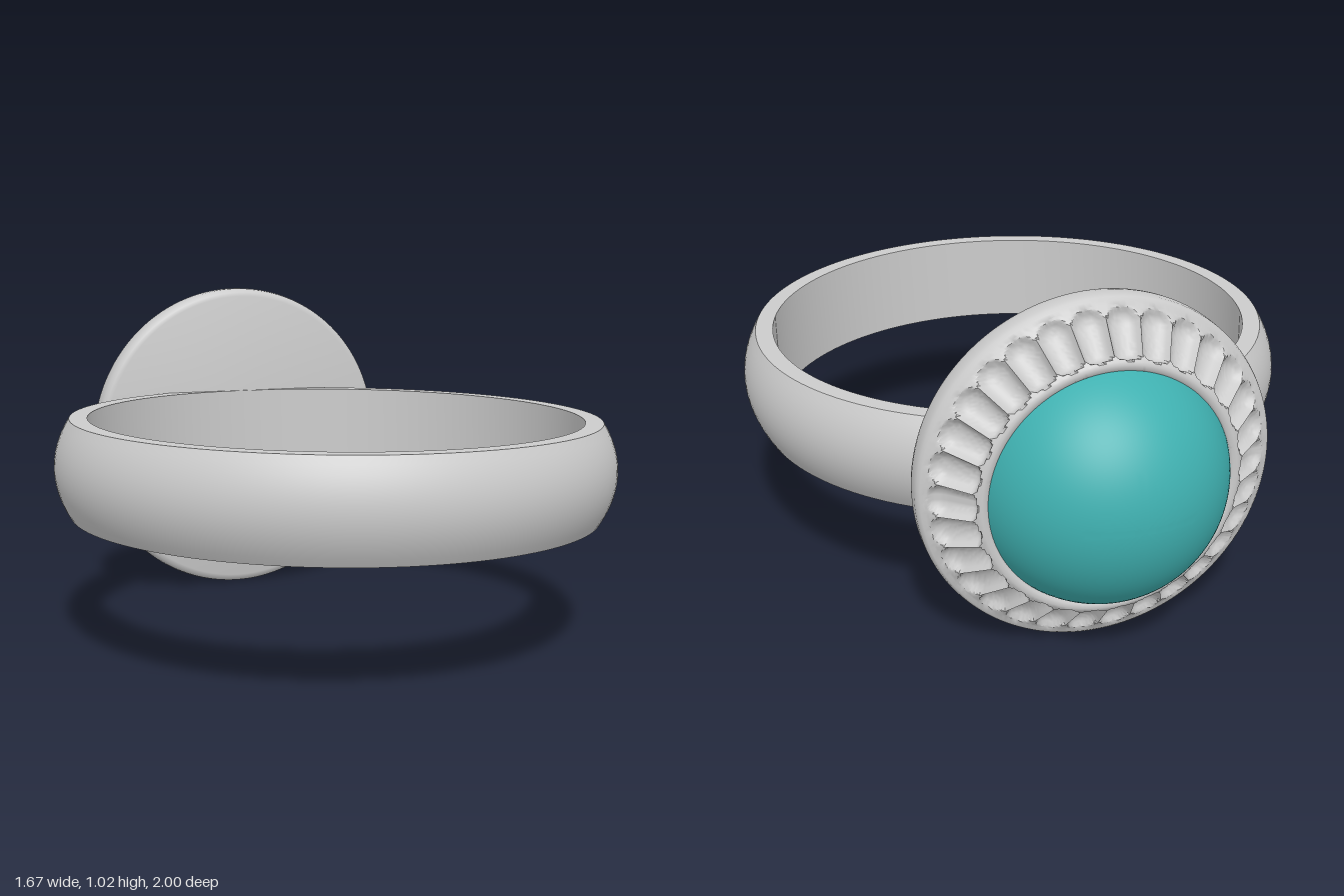
import * as THREE from 'three';
import { toCreasedNormals } from 'three/addons/utils/BufferGeometryUtils.js';

const FLUTES = 30;

function lathe(points, segments) {
  return new THREE.LatheGeometry(points.map(([r, y]) => new THREE.Vector2(r, y)), segments);
}

function part(name, geometry, color, crease = 0.6) {
  const mesh = new THREE.Mesh(
    toCreasedNormals(geometry, crease),
    new THREE.MeshStandardMaterial({ color })
  );
  mesh.name = name;
  return mesh;
}

// Band: flat inside and sides, bowed outside
function makeBand() {
  const half = 0.142, steps = 12;
  const profile = [[0.735, -half]];
  for (let i = 0; i <= steps; i++) {
    const k = (i / steps) * 2 - 1;
    profile.push([0.833 - 0.045 * k * k, half * k]);
  }
  profile.push([0.735, half], [0.735, -half]);
  const band = part('band', lathe(profile, 128), 0xcccccc);
  band.position.set(0, 0.533, 0.165);
  band.rotation.z = -0.009;
  return band;
}

// Bezel: round plate with a sloping collar carved by scooped flutes
function makeBezel() {
  const outer = [0.488, 0.085], inner = [0.368, 0.188], rows = 22;
  const profile = [
    [0, 0], [0.485, 0], [0.498, 0.004], [0.507, 0.014], [0.51, 0.03],
    [0.51, 0.062], [0.506, 0.075], [0.499, 0.082]
  ];
  const firstRow = profile.length;
  for (let i = 0; i <= rows; i++) {
    const t = i / rows;
    profile.push([
      THREE.MathUtils.lerp(outer[0], inner[0], t),
      THREE.MathUtils.lerp(outer[1], inner[1], t)
    ]);
  }
  profile.push([0.36, 0.191], [0.348, 0.19], [0.338, 0.18], [0.335, 0.15], [0, 0.15]);

  const segments = FLUTES * 12;
  const geometry = lathe(profile, segments);
  const pos = geometry.attributes.position;
  const slope = new THREE.Vector2(outer[0] - inner[0], inner[1] - outer[1]).normalize();
  for (let seg = 0; seg <= segments; seg++) {
    const angle = (seg / segments) * Math.PI * 2;
    const s = (((seg % 12) / 12) * 2 - 1) / 0.94;
    for (let i = 0; i <= rows; i++) {
      // round outer end, straight sides, quick rise to the inner lip
      const t = i / rows;
      const e = t < 0.34 ? (0.34 - t) / 0.3 : t > 0.84 ? (t - 0.84) / 0.12 : 0;
      const depth = 0.03 * Math.sqrt(Math.max(0, 1 - s * s - e * e));
      const index = seg * profile.length + firstRow + i;
      const [r, y] = profile[firstRow + i];
      const radius = r - slope.y * depth;
      pos.setXYZ(index, Math.sin(angle) * radius, y - slope.x * depth, Math.cos(angle) * radius);
    }
  }
  return part('bezel', geometry, 0xcccccc, 0.75);
}

// Stone: domed cap, its lower edge sunk into the bezel
function makeStone() {
  const R = 0.363, centre = 0.062, steps = 32, profile = [];
  for (let i = 0; i <= steps; i++) {
    const a = THREE.MathUtils.lerp(0.25, Math.PI / 2, i / steps);
    profile.push([i === steps ? 0 : R * Math.cos(a), centre + R * Math.sin(a)]);
  }
  return part('stone', lathe(profile, 96), 0x3fb0b0);
}

export function createModel() {
  const ring = new THREE.Group();
  ring.name = 'ring';

  // Setting faces the back, its axis along -z
  const setting = new THREE.Group();
  setting.name = 'setting';
  setting.add(makeBezel(), makeStone());
  setting.rotation.x = -Math.PI / 2;
  setting.position.set(-0.01, 0.512, -0.575);

  ring.add(makeBand(), setting);
  return ring;
}
